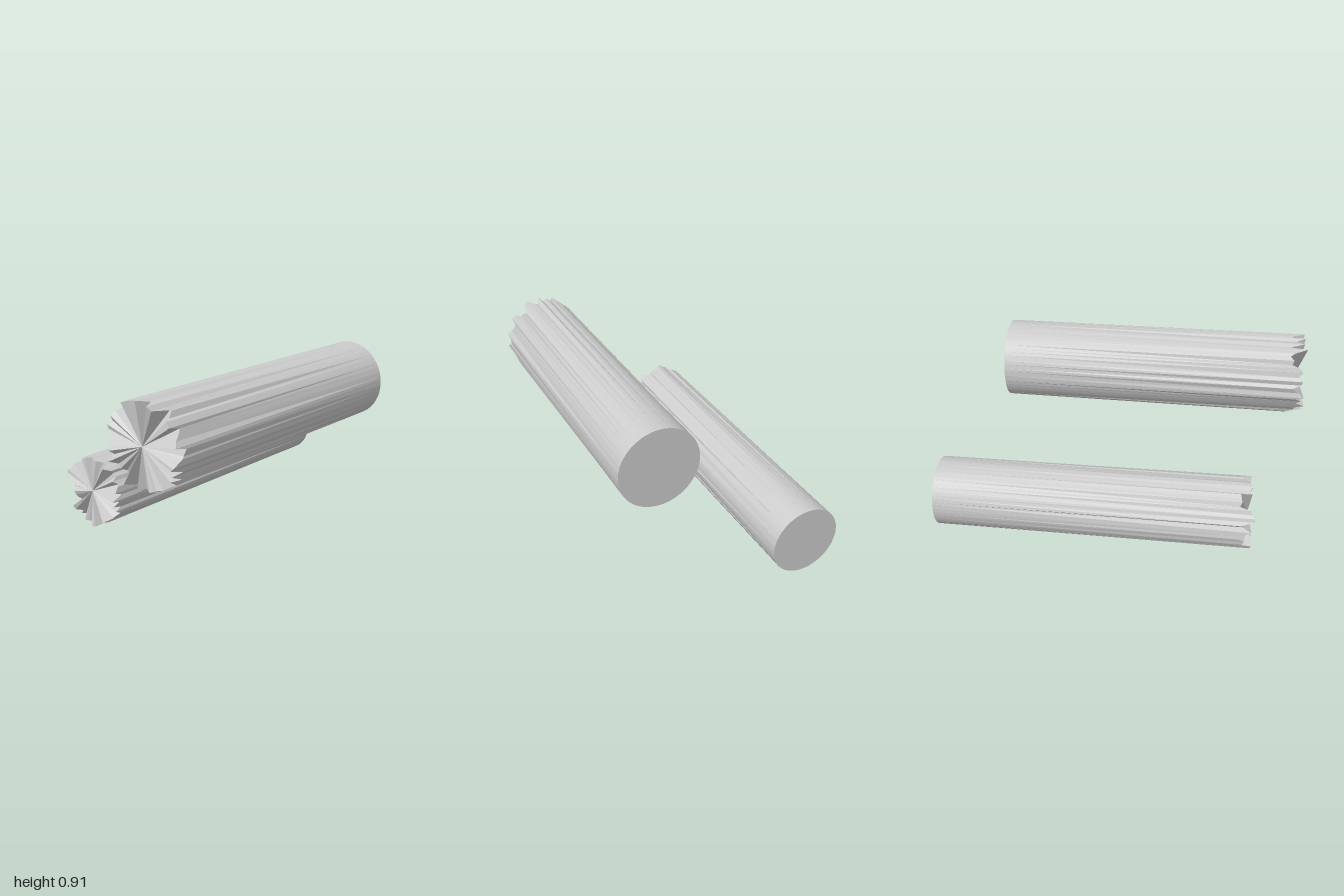
import * as THREE from 'three';

const SEGMENTS = 60;

// Small seeded generator for the splintered rims
function seeded(seed) {
  let s = seed;
  return () => {
    s = (s * 16807) % 2147483647;
    return s / 2147483647;
  };
}

// Round log: smooth sawn back end, ragged front rim whose ridges fade backwards
function makeLog(name, o) {
  const rand = seeded(o.seed);
  const back = [], rim = [];
  for (let i = 0; i < SEGMENTS; i++) {
    const a = ((i + (rand() - 0.5) * 0.6) / SEGMENTS) * Math.PI * 2;
    const r = o.radius + (rand() - 0.45) * o.radius * 0.09;
    const z = o.zFront + (rand() - 0.5) * o.depth - o.tilt * Math.cos(a);
    back.push(new THREE.Vector3(Math.cos(a) * o.radius, Math.sin(a) * o.radius, o.zBack));
    rim.push(new THREE.Vector3(Math.cos(a) * r, Math.sin(a) * r, Math.min(z, o.zMax)));
  }
  const frontCentre = new THREE.Vector3(0, 0, o.zCentre);
  const backCentre = new THREE.Vector3(0, 0, o.zBack);

  const side = [], front = [], end = [];
  for (let i = 0; i < SEGMENTS; i++) {
    const j = (i + 1) % SEGMENTS;
    side.push(back[i], back[j], rim[j], back[i], rim[j], rim[i]);
    front.push(frontCentre, rim[i], rim[j]);
    end.push(backCentre, back[j], back[i]);
  }

  const log = new THREE.Group();
  log.name = name;
  log.position.set(o.x, o.y, 0);
  const material = new THREE.MeshStandardMaterial({
    color: 0xcccccc, flatShading: true, side: THREE.DoubleSide,
  });
  const parts = { bark: side, splinteredEnd: front, sawnEnd: end };
  for (const [part, points] of Object.entries(parts)) {
    const geometry = new THREE.BufferGeometry().setFromPoints(points);
    geometry.computeVertexNormals();
    const mesh = new THREE.Mesh(geometry, material);
    mesh.name = part;
    log.add(mesh);
  }
  return log;
}

export function createModel() {
  const model = new THREE.Group();
  model.name = 'brokenLogs';
  model.add(
    // Lower, thinner log
    makeLog('lowerLog', {
      x: -0.364, y: 0.2, radius: 0.19, zBack: -1, zFront: 0.705,
      zCentre: 0.71, zMax: 0.745, depth: 0.09, tilt: 0, seed: 4211,
    }),
    // Upper, thicker log
    makeLog('upperLog', {
      x: 0.33, y: 0.687, radius: 0.219, zBack: -0.715, zFront: 0.94,
      zCentre: 0.95, zMax: 1, depth: 0.11, tilt: 0.02, seed: 9377,
    }),
  );
  return model;
}
